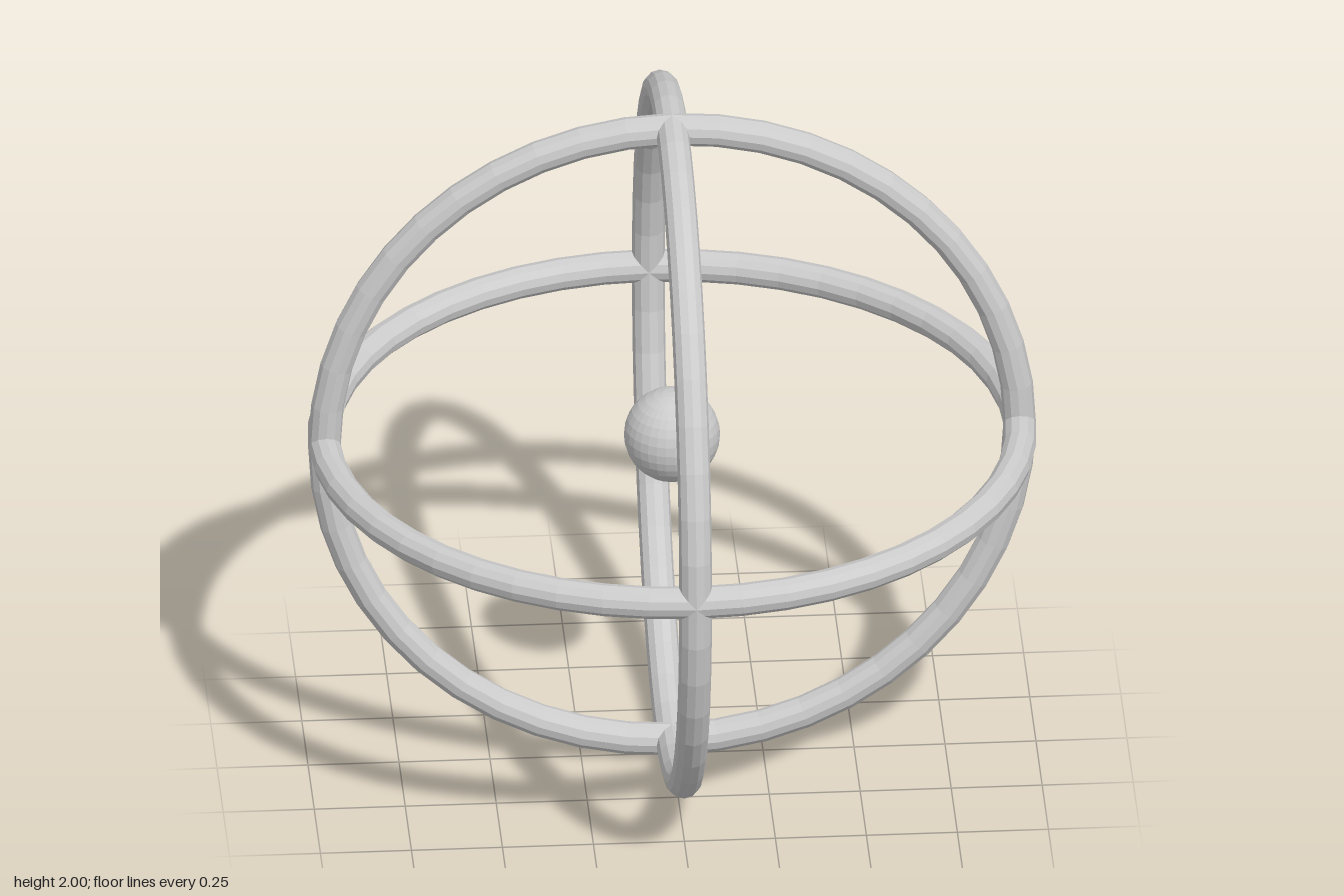
import * as THREE from 'three';

export function createModel() {
  const model = new THREE.Group();
  const material = new THREE.MeshStandardMaterial({ color: 0xcccccc, flatShading: true });
  const tube = 0.045;

  function add(name, geometry) {
    const mesh = new THREE.Mesh(geometry, material);
    mesh.name = name;
    mesh.position.y = 1;
    model.add(mesh);
    return mesh;
  }

  // Three equal rings, one in each main plane
  const rings = [
    ['frontRing', 0, 0],
    ['sideRing', 0, Math.PI / 2],
    ['levelRing', Math.PI / 2, 0],
  ];
  for (const [name, rx, ry] of rings) {
    add(name, new THREE.TorusGeometry(1 - tube, tube, 12, 48)).rotation.set(rx, ry, 0);
  }

  // Small ball floating at the centre
  add('centreBall', new THREE.SphereGeometry(0.132, 32, 16));

  return model;
}
